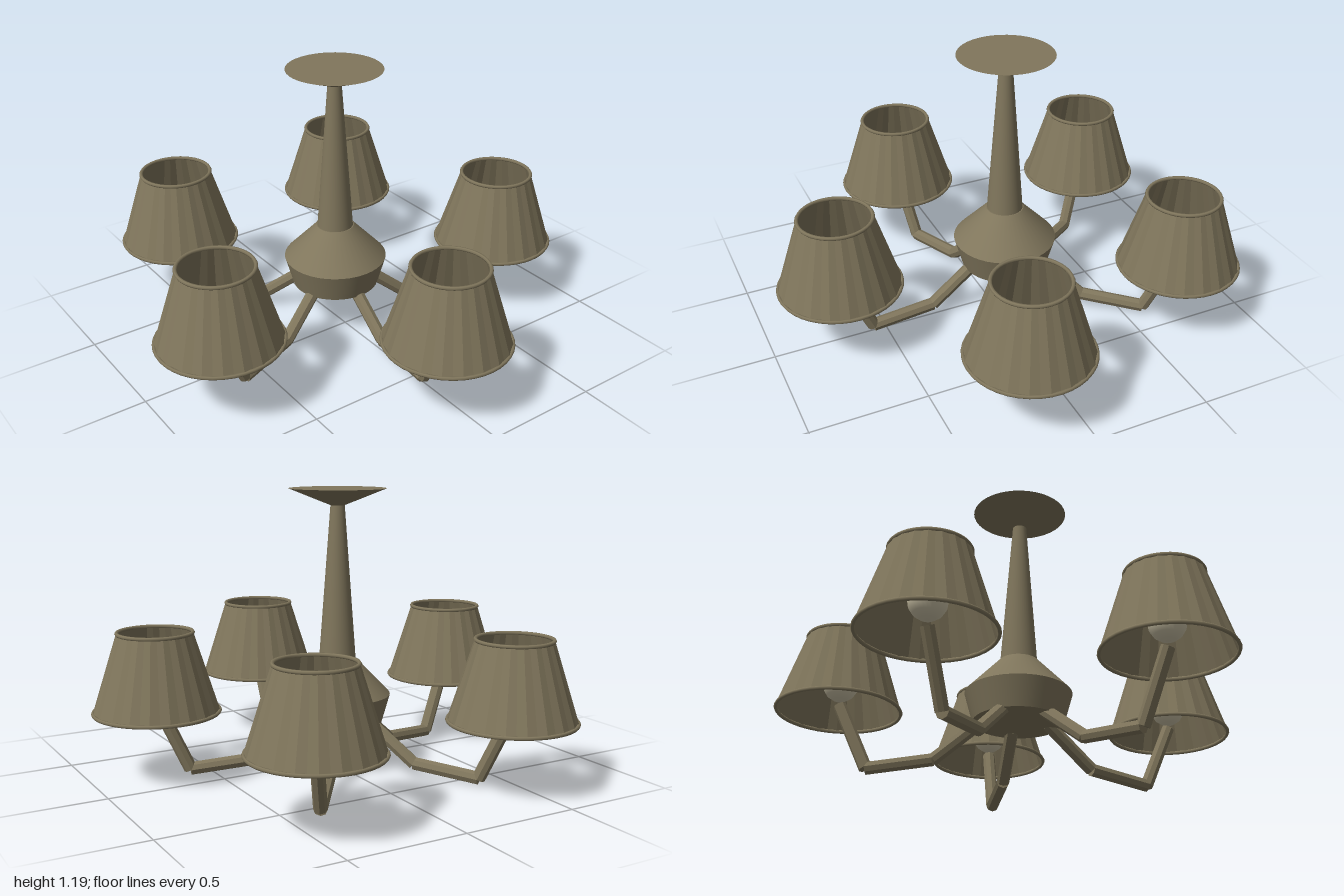
import * as THREE from 'three';

export function createModel() {
  const model = new THREE.Group();
  model.name = 'chandelier';

  const bronze = new THREE.MeshStandardMaterial({ color: 0x80765c, side: THREE.DoubleSide });
  bronze.name = 'bronze';
  const pleated = bronze.clone();
  pleated.flatShading = true;
  const cream = new THREE.MeshStandardMaterial({ color: 0xcdc4a8 });
  cream.name = 'cream bulb';

  const add = (parent, name, geometry, material) => {
    const mesh = new THREE.Mesh(geometry, material);
    mesh.name = name;
    parent.add(mesh);
    return mesh;
  };

  // Central column: each band is its own frustum so its edges stay sharp
  const column = new THREE.Group();
  column.name = 'column';
  column.position.x = -0.075;
  model.add(column);
  const bands = [
    ['lowerBody', 0.19, 0.225, 0.205, 0.33],
    ['upperBody', 0.225, 0.082, 0.33, 0.48],
    ['stem', 0.078, 0.03, 0.48, 1.13],
    ['ceilingCanopy', 0.03, 0.205, 1.13, 1.2],
  ];
  for (const [name, r0, r1, y0, y1] of bands) {
    add(column, name, new THREE.CylinderGeometry(r1, r0, y1 - y0, 40), bronze)
      .position.y = (y0 + y1) / 2;
  }

  // Straight octagonal rod between two points
  const rod = (a, b, radius) => {
    const dir = b.clone().sub(a);
    const geo = new THREE.CylinderGeometry(radius, radius, dir.length(), 8);
    geo.applyQuaternion(new THREE.Quaternion().setFromUnitVectors(
      new THREE.Vector3(0, 1, 0), dir.normalize()));
    const mid = a.clone().add(b).multiplyScalar(0.5);
    return geo.translate(mid.x, mid.y, mid.z);
  };

  // Softly pleated open shade
  const shadeGeo = new THREE.CylinderGeometry(0.155, 0.259, 0.332, 40, 1, true);
  const pos = shadeGeo.attributes.position;
  for (let i = 0; i < pos.count; i++) {
    const k = 1 + ((i % 41) % 2 ? 0.011 : -0.011);
    pos.setX(i, pos.getX(i) * k);
    pos.setZ(i, pos.getZ(i) * k);
  }
  shadeGeo.computeVertexNormals();

  const rimGeo = (r) => new THREE.TorusGeometry(r, 0.008, 6, 40).rotateX(Math.PI / 2);
  const topRim = rimGeo(0.155);
  const bottomRim = rimGeo(0.26);

  // Round bulb with a small flat tip
  const bulbGeo = new THREE.LatheGeometry([
    [0, 0.335], [0.03, 0.341], [0.055, 0.359], [0.071, 0.385], [0.075, 0.41],
    [0.071, 0.435], [0.055, 0.462], [0.03, 0.482], [0.027, 0.49], [0, 0.492],
  ].map(([r, y]) => new THREE.Vector2(r, y)), 24);

  const path = [[0.14, 0.225], [0.352, 0.06], [0.632, 0.033], [0.762, 0.315]]
    .map(([x, y]) => new THREE.Vector3(x, y, 0));
  const rods = [0, 1, 2].map((i) => rod(path[i], path[i + 1], 0.028));

  // Five lamps around the column
  for (let n = 0; n < 5; n++) {
    const lamp = new THREE.Group();
    lamp.name = 'lamp' + (n + 1);
    lamp.rotation.y = (n * Math.PI * 2) / 5;
    column.add(lamp);

    rods.forEach((geo, i) => add(lamp, 'armSegment' + (i + 1), geo, pleated));

    const head = new THREE.Group();
    head.name = 'lampHead';
    head.position.x = 0.765;
    lamp.add(head);
    add(head, 'shade', shadeGeo, pleated).position.y = 0.456;
    add(head, 'shadeTopRim', topRim, bronze).position.y = 0.62;
    add(head, 'shadeBottomRim', bottomRim, bronze).position.y = 0.29;
    add(head, 'bulb', bulbGeo, cream);
  }
  return model;
}
